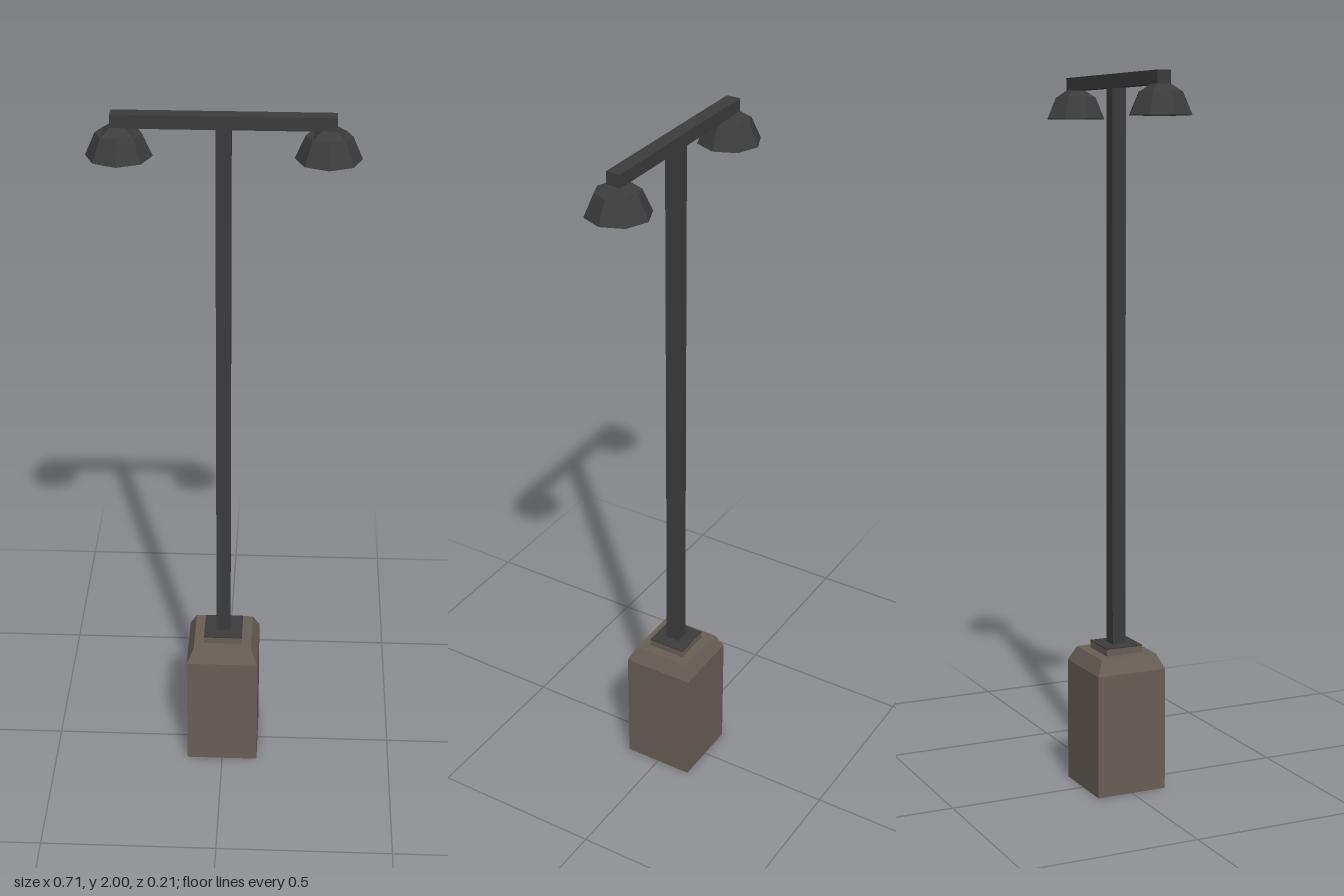
import * as THREE from 'three';

export function createModel() {
  const model = new THREE.Group();
  const mat = (color) => new THREE.MeshStandardMaterial({ color, flatShading: true });
  const stone = mat(0x685f56), metal = mat(0x3c3c3d), glass = mat(0xd8ccb0);

  const add = (parent, name, geometry, material, x = 0, y = 0) => {
    const mesh = new THREE.Mesh(geometry, material);
    mesh.name = name;
    mesh.position.set(x, y, 0);
    parent.add(mesh);
    return mesh;
  };

  // Square block between two heights, tapering from one half width to another
  const block = (parent, name, material, y0, y1, half0, half1 = half0) => {
    const geometry = new THREE.CylinderGeometry(half1 * Math.SQRT2, half0 * Math.SQRT2, y1 - y0, 4);
    geometry.rotateY(Math.PI / 4);
    return add(parent, name, geometry, material, 0, (y0 + y1) / 2);
  };

  // Stone pedestal with bevelled shoulder and step
  block(model, 'pedestal', stone, 0, 0.35, 0.104);
  block(model, 'pedestalBevel', stone, 0.35, 0.392, 0.104, 0.084);
  block(model, 'pedestalStep', stone, 0.392, 0.411, 0.055);
  block(model, 'poleFlange', metal, 0.411, 0.414, 0.055);

  // Pole and cross arm
  block(model, 'pole', metal, 0.412, 1.965, 0.02);
  add(model, 'crossArm', new THREE.BoxGeometry(0.576, 0.036, 0.04), metal, 0, 1.982);

  // Hollow octagonal shade profile, from the inside round to the top
  const shadeProfile = [
    [0, 1.935], [0.052, 1.935], [0.077, 1.885], [0.087, 1.885], [0.06, 1.946], [0, 1.946],
  ].map(([r, y]) => new THREE.Vector2(r, y));
  // Shallow bulb dome, lowest point first
  const bulbProfile = [
    [0, 1.902], [0.022, 1.906], [0.038, 1.918], [0.044, 1.935],
  ].map(([r, y]) => new THREE.Vector2(r, y));

  // A lamp at each end of the arm
  for (const [side, name] of [[1, 'leftLamp'], [-1, 'rightLamp']]) {
    const lamp = new THREE.Group();
    lamp.name = name;
    lamp.position.x = side * 0.268;
    add(lamp, 'shade', new THREE.LatheGeometry(shadeProfile, 8), metal);
    add(lamp, 'bulb', new THREE.LatheGeometry(bulbProfile, 8), glass);
    block(lamp, 'neck', metal, 1.946, 1.965, 0.041, 0.02);
    model.add(lamp);
  }

  return model;
}
